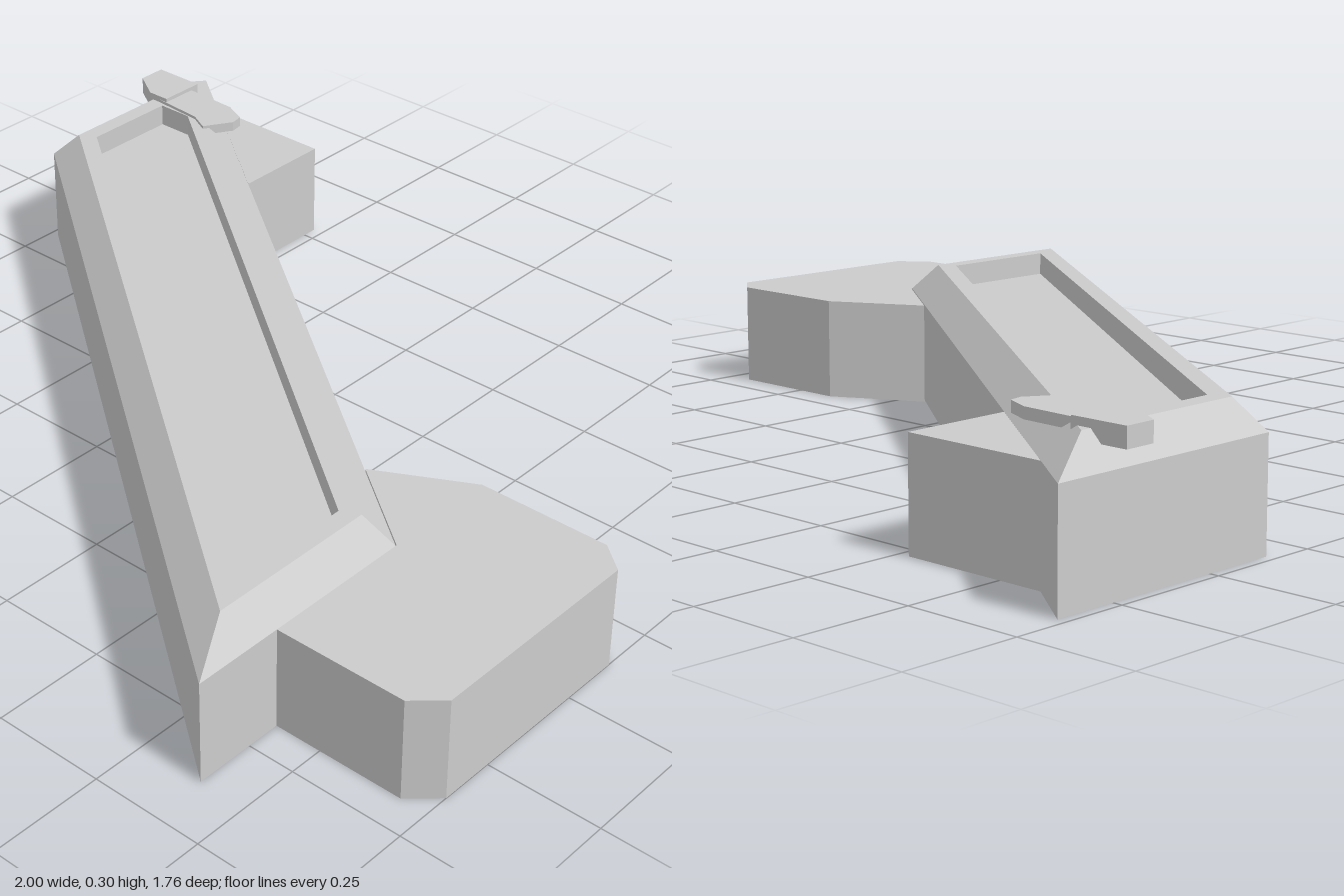
import * as THREE from 'three';

const material = new THREE.MeshStandardMaterial({ color: 0xcccccc, flatShading: true });

// Skins rings of [x, z] points (counterclockwise from above), each at a height, and caps both ends.
function loft(name, rings) {
  const pos = [];
  const n = rings[0].pts.length;
  const put = (ring, i) => pos.push(ring.pts[i % n][0], ring.y, ring.pts[i % n][1]);
  for (let r = 0; r < rings.length - 1; r++) {
    const a = rings[r], b = rings[r + 1];
    for (let i = 0; i < n; i++) {
      put(a, i); put(a, i + 1); put(b, i + 1);
      put(a, i); put(b, i + 1); put(b, i);
    }
  }
  const first = rings[0], last = rings[rings.length - 1];
  for (let i = 1; i < n - 1; i++) {
    put(first, 0); put(first, i + 1); put(first, i);
    put(last, 0); put(last, i); put(last, i + 1);
  }
  const g = new THREE.BufferGeometry();
  g.setAttribute('position', new THREE.Float32BufferAttribute(pos, 3));
  g.computeVertexNormals();
  const mesh = new THREE.Mesh(g, material);
  mesh.name = name;
  return mesh;
}

const prism = (name, pts, y0, y1) => loft(name, [{ pts, y: y0 }, { pts, y: y1 }]);

// Slanted basin outline, inset by dx at the ends and dz along the sides.
// The back-left corner may be cut off along a line of constant z.
const SLOPE = 0.7525;
function outline(dx, dz, cutZ) {
  const x0 = -0.98 + dx, x1 = 0.645 - dx;
  const back = x => -0.885 + SLOPE * (x + 0.98) + dz;
  const front = x => -0.343 + SLOPE * (x + 0.98) - dz;
  const z0 = cutZ ?? back(x0);
  const xCut = (z0 - dz + 0.885) / SLOPE - 0.98;
  return [[xCut, z0], [x0, z0], [x0, front(x0)], [x1, front(x1)], [x1, back(x1)]];
}

export function createModel() {
  const group = new THREE.Group();
  group.name = 'slantedBasin';

  // Basin: upright walls, bevelled shoulder, flat rim, sunken floor
  const opening = outline(0.1, 0.125, -0.62);
  group.add(loft('basin', [
    { pts: outline(0, 0), y: 0 },
    { pts: outline(0, 0), y: 0.226 },
    { pts: outline(0.06, 0.075), y: 0.286 },
    { pts: opening, y: 0.286 },
    { pts: opening, y: 0.235 },
  ]));

  // Side platforms against the back wall
  group.add(prism('rightEndPlatform', [
    [0.645, 0.335], [0.645, 0.675], [0.94, 0.675], [1, 0.62],
    [1, 0.12], [0.94, 0.07], [0.645, 0.07], [0.44, 0.181],
  ], 0, 0.226));
  group.add(prism('cornerBlock', [
    [-0.847, -0.785], [-0.525, -0.543], [-0.525, -0.785],
  ], 0, 0.226));

  // Spout lying over the back corner: flat lip and thicker head
  group.add(prism('spoutLip', [
    [-0.88, -0.72], [-0.9, -0.63], [-0.77, -0.62], [-0.72, -0.595],
    [-0.68, -0.66], [-0.685, -0.69], [-0.74, -0.715],
  ], 0.27, 0.293));
  group.add(prism('spoutHead', [
    [-1, -0.742], [-1, -0.675], [-0.93, -0.63], [-0.875, -0.63], [-0.875, -0.742],
  ], 0.262, 0.302));
  return group;
}
